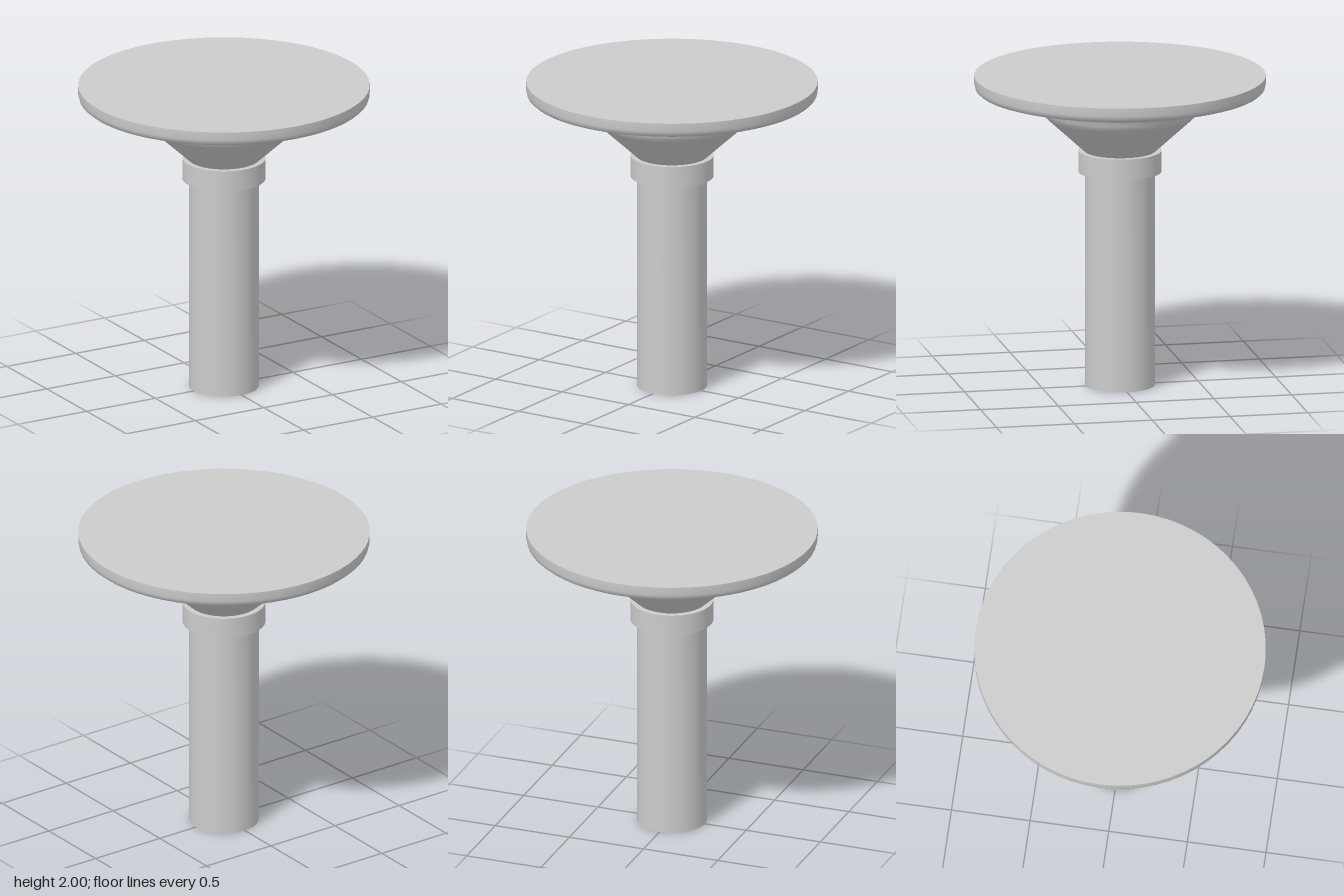
import * as THREE from 'three';
import { toCreasedNormals } from 'three/addons/utils/BufferGeometryUtils.js';

const SEGMENTS = 64;

export function createModel() {
  const group = new THREE.Group();
  const material = new THREE.MeshStandardMaterial({ color: 0xcccccc, side: THREE.DoubleSide });

  // Turned part from [radius, height] points, with sharp corners kept crisp
  const turned = (name, profile) => {
    const points = profile.map(([r, y]) => new THREE.Vector2(r, y));
    const geometry = toCreasedNormals(new THREE.LatheGeometry(points, SEGMENTS), 0.85);
    const mesh = new THREE.Mesh(geometry, material);
    mesh.name = name;
    group.add(mesh);
  };

  // Hollow stem, open at the foot
  turned('stem', [[0.22, 0], [0.22, 1.51]]);

  // Collar around the top of the stem
  turned('collar', [[0.22, 1.38], [0.262, 1.38], [0.262, 1.515], [0.22, 1.515]]);

  // Flared head: cone, rounded shoulder, shallow dish and flat top
  turned('head', [
    [0.22, 1.51], [0.465, 1.735], [0.485, 1.757], [0.496, 1.78],
    [0.503, 1.805], [0.51, 1.819], [0.525, 1.826], [0.55, 1.832],
    [0.87, 1.9], [0.896, 1.908], [0.912, 1.922], [0.918, 1.945],
    [0.918, 2], [0, 2],
  ]);

  return group;
}
